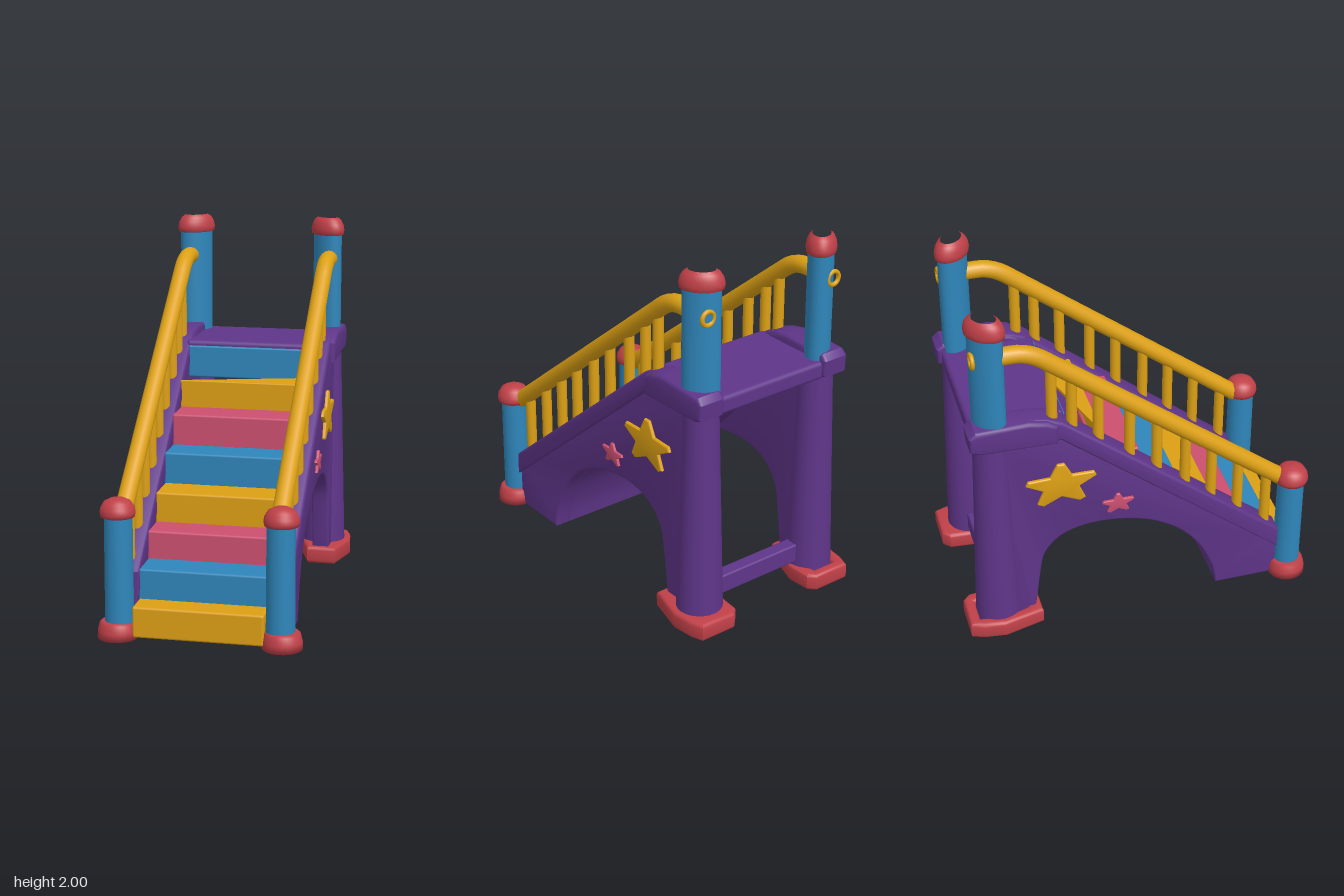
import * as THREE from 'three';
import { toCreasedNormals } from 'three/addons/utils/BufferGeometryUtils.js';
import { RoundedBoxGeometry } from 'three/addons/geometries/RoundedBoxGeometry.js';

const paint = (name, color) => Object.assign(new THREE.MeshStandardMaterial({ color }), { name });

export function createModel() {
  const purple = paint('purple', 0x5f3589);
  const blue = paint('blue', 0x2f86bb);
  const yellow = paint('yellow', 0xdca014);
  const pink = paint('pink', 0xcc5070);
  const red = paint('red', 0xc04048);

  const group = new THREE.Group();
  const add = (name, geometry, material, x = 0, y = 0, z = 0) => {
    const mesh = new THREE.Mesh(geometry, material);
    mesh.name = name;
    mesh.position.set(x, y, z);
    group.add(mesh);
    return mesh;
  };
  const vecs = (pts) => pts.map(([a, b]) => new THREE.Vector2(a, b));

  // A [z, y] outline extruded across x from x0 to x1
  const slab = (pts, x0, x1, bevel = 0) => {
    const geo = new THREE.ExtrudeGeometry(new THREE.Shape(vecs(pts)), {
      depth: x1 - x0 - 2 * bevel, bevelEnabled: bevel > 0, bevelSize: bevel,
      bevelThickness: bevel, bevelOffset: -bevel, bevelSegments: 3,
    });
    geo.rotateY(-Math.PI / 2).translate(x1 - bevel, 0, 0);
    return toCreasedNormals(geo, 0.6);
  };
  const sideSlab = (name, pts, s, inner, outer, bevel, material) =>
    add(name, s > 0 ? slab(pts, inner, outer, bevel) : slab(pts, -outer, -inner, bevel), material);

  const box = (x0, x1, y0, y1, z0, z1, r) =>
    new RoundedBoxGeometry(x1 - x0, y1 - y0, z1 - z0, 3, r)
      .translate((x0 + x1) / 2, (y0 + y1) / 2, (z0 + z1) / 2);

  // Arch curve shared by the side panels and the soffit
  const archPoints = (pts, n) => new THREE.SplineCurve(vecs(pts)).getPoints(n).map((p) => [p.x, p.y]);
  const archFront = [[0.45, 0], [0.42, 0.14], [0.34, 0.31], [0.22, 0.45], [0.06, 0.55]];
  const arch = archPoints([...archFront, [-0.12, 0.6], [-0.3, 0.605], [-0.44, 0.56],
    [-0.53, 0.46], [-0.56, 0.32], [-0.58, 0.16], [-0.6, 0.04]], 44);

  const panel = [[0.8, 0], ...arch, [-0.8, 0.04], [-0.8, 1.3], [-0.45, 1.3], [0.8, 0.28]];
  const trim = [[0.8, 0.2], [-0.43, 1.22], [-0.86, 1.23], [-0.88, 1.36], [-0.6, 1.38],
    [-0.5, 1.365], [-0.42, 1.33], [0.8, 0.33]];
  const lip = [[-0.45, 1.22], [-0.86, 1.23], [-0.91, 1.25], [-0.915, 1.34], [-0.88, 1.37],
    [-0.6, 1.38], [-0.5, 1.36], [-0.45, 1.33]];

  const starPoints = (cz, cy, r) => {
    const pts = [];
    for (let i = 0; i < 10; i++) {
      const a = Math.PI / 2 + i * Math.PI / 5, q = i % 2 ? r * 0.52 : r;
      // two close points round off each tip
      for (const d of i % 2 ? [0] : [-0.1, 0.1]) {
        pts.push([cz + q * Math.cos(a + d), cy + q * 0.72 * Math.sin(a + d)]);
      }
    }
    return pts;
  };

  // Flared foot under each rear leg, outlined in [x, z]
  const footOutline = [[0.29, -0.97], [0.5, -0.97], [0.525, -0.9], [0.54, -0.78], [0.485, -0.56],
    [0.32, -0.56], [0.24, -0.8], [0.25, -0.93]];
  const footHole = [[0.32, -0.91], [0.46, -0.91], [0.48, -0.78], [0.44, -0.64], [0.34, -0.64], [0.3, -0.8]];

  const railPath = new THREE.CurvePath();
  const v3 = (y, z) => new THREE.Vector3(0, y, z);
  railPath.add(new THREE.LineCurve3(v3(0.66, 0.82), v3(1.69, -0.48)));
  railPath.add(new THREE.QuadraticBezierCurve3(v3(1.69, -0.48), v3(1.77, -0.57), v3(1.77, -0.66)));
  railPath.add(new THREE.LineCurve3(v3(1.77, -0.66), v3(1.77, -0.8)));

  const capProfile = vecs([[0.07, 0], [0.088, 0.005], [0.092, 0.025], [0.088, 0.05],
    [0.07, 0.08], [0.04, 0.096], [0, 0.1]]);
  const openCapProfile = vecs([[0.085, 0], [0.097, 0.005], [0.1, 0.03], [0.094, 0.06],
    [0.08, 0.085], [0.06, 0.1]]);

  for (const s of [1, -1]) {
    // Side wall with its raised edge and stars
    sideSlab('sidePanel', panel, s, 0.345, 0.44, 0.012, purple);
    sideSlab('sideTrim', trim, s, 0.335, 0.46, 0.015, purple);
    sideSlab('platformLip', lip, s, 0.33, 0.485, 0.02, purple);
    sideSlab('largeStar', starPoints(-0.435, 0.92, 0.195), s, 0.43, 0.458, 0.008, yellow);
    sideSlab('smallStar', starPoints(-0.125, 0.725, 0.09), s, 0.43, 0.455, 0.006, pink);

    // Rear leg and foot
    add('rearLeg', new THREE.CylinderGeometry(0.09, 0.125, 1.2, 28), purple, s * 0.38, 0.65, -0.79);
    const outline = (pts) => vecs(pts.map(([x, z]) => [s * x, -z]));
    const footShape = new THREE.Shape(outline(footOutline));
    footShape.holes.push(new THREE.Path(outline(footHole)));
    const foot = new THREE.ExtrudeGeometry(footShape, {
      depth: 0.06, bevelSize: 0.02, bevelThickness: 0.02, bevelOffset: -0.02, bevelSegments: 3,
    });
    foot.rotateX(-Math.PI / 2).translate(0, 0.02, 0);
    add('rearFoot', toCreasedNormals(foot, 0.6), red);

    // Rear post: oval, open-topped tube
    const post = new THREE.Group();
    post.name = 'rearPost';
    post.position.set(s * 0.385, 0, -0.79);
    post.rotation.y = -s * Math.PI / 4;
    post.scale.set(1.15, 1, 0.8);
    group.add(post);
    const tube = add('rearPostTube', new THREE.CylinderGeometry(0.085, 0.085, 0.58, 32, 1, true), blue, 0, 1.62, 0);
    const openCap = add('rearPostCap', new THREE.LatheGeometry(openCapProfile, 32), red, 0, 1.9, 0);
    post.add(tube, openCap);

    // Front post
    add('frontPost', new THREE.CylinderGeometry(0.073, 0.075, 0.6, 32), blue, s * 0.42, 0.36, 0.87);
    add('frontPostCap', new THREE.LatheGeometry(capProfile, 32), red, s * 0.423, 0.64, 0.87);
    add('frontFoot', new THREE.LatheGeometry(vecs([[0, 0], [0.105, 0], [0.103, 0.04],
      [0.093, 0.08], [0.078, 0.092], [0, 0.092]]), 32), red, s * 0.43, 0, 0.87);

    // Handrail and balusters
    add('handrail', new THREE.TubeGeometry(railPath, 60, 0.047, 16), yellow, s * 0.405, 0, 0);
    add('handrailEnd', new THREE.TorusGeometry(0.036, 0.012, 10, 24), yellow, s * 0.405, 1.77, -0.865);
    for (const z of [0.73, 0.565, 0.41, 0.26, 0.1, -0.05, -0.22, -0.36, -0.465]) {
      const bottom = Math.min(0.29 + (0.8 - z) * 0.82, 1.33);
      const top = 0.66 + (0.8 - z) * 0.8;
      add('baluster', new THREE.CylinderGeometry(0.029, 0.029, top - bottom, 16), yellow,
        s * 0.4, (top + bottom) / 2, z);
    }
  }

  // Curved soffit beneath the stairs
  const soffit = [[0.8, 0], ...archPoints(archFront, 20), [-0.08, 0.64], [-0.4, 1.0], [-0.4, 1.06], [0.8, 0.08]];
  add('stairSoffit', slab(soffit, -0.35, 0.35), purple);

  // Steps in repeating colours
  const tops = [0.18, 0.34, 0.49, 0.65, 0.82, 0.99, 1.14];
  const fronts = [0.92, 0.78, 0.59, 0.41, 0.21, 0.02, -0.18];
  const colours = [yellow, blue, pink];
  for (let i = 0; i < 6; i++) {
    add('step', box(-0.342, 0.342, Math.max(0.015, tops[i] - 0.18), tops[i],
      fronts[i + 1] - 0.03, fronts[i], 0.012), colours[i % 3]);
  }

  // Top step: a riser with a wedge-shaped tread
  add('topStepRiser', box(-0.342, 0.342, 0.97, 1.14, -0.195, -0.18, 0.006), yellow);
  const wedge = new THREE.ExtrudeGeometry(
    new THREE.Shape(vecs([[-0.34, 0.185], [0.34, 0.185], [0.34, 0.37], [0.31, 0.37]])),
    { depth: 0.015, bevelEnabled: false });
  add('topStepTread', wedge.rotateX(-Math.PI / 2), yellow, 0, 1.125, 0);
  add('platformRiser', box(-0.342, 0.342, 1.12, 1.3, -0.41, -0.38, 0.01), blue);

  // Platform and the brace between the rear legs
  add('platform', box(-0.36, 0.36, 1.23, 1.33, -0.89, -0.39, 0.025), purple);
  add('rearBrace', box(-0.36, 0.36, 0.12, 0.23, -0.82, -0.74, 0.012), purple);

  return group;
}
